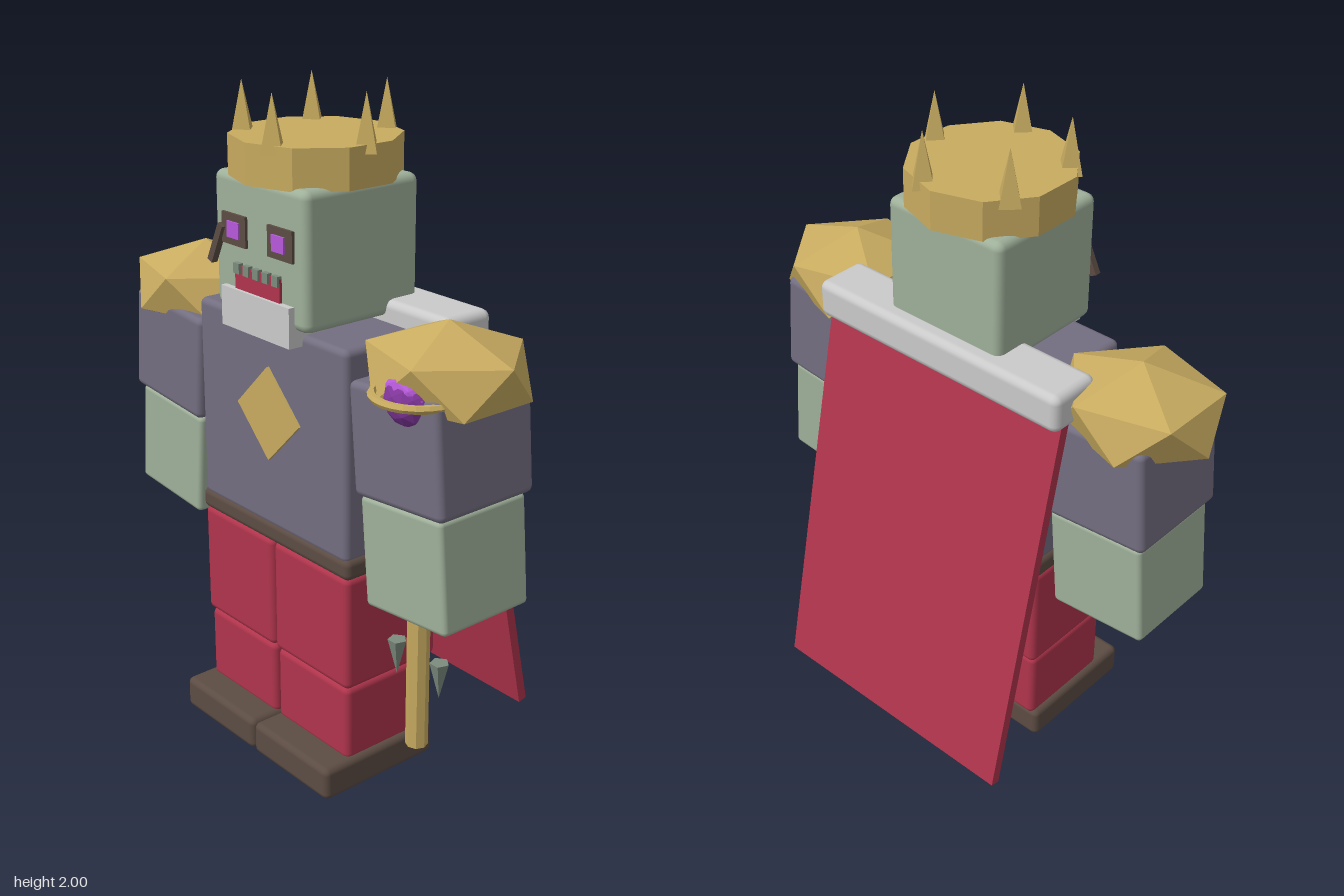
import * as THREE from 'three';
import { RoundedBoxGeometry } from 'three/addons/geometries/RoundedBoxGeometry.js';

export function createModel() {
  const root = new THREE.Group();
  root.name = 'undeadKing';

  const mat = (name, color, flatShading = false) => {
    const m = new THREE.MeshStandardMaterial({ color, flatShading });
    m.name = name;
    return m;
  };
  const skin = mat('paleGreenSkin', 0x9fb09a);
  const cloth = mat('greyVioletTunic', 0x736e80);
  const red = mat('crimson', 0xb0344c);
  const brown = mat('darkLeather', 0x5c4c43);
  const gold = mat('gold', 0xc8ab60, true);
  const fur = mat('paleGreyTrim', 0xcacaca);
  const purple = mat('deepPurple', 0x84389f, true);
  const glow = mat('brightPurple', 0xb75adb, true);
  const claw = mat('dullGreenGrey', 0x7c8c7e, true);

  const add = (name, geometry, material, x, y, z, parent = root) => {
    const m = new THREE.Mesh(geometry, material);
    m.name = name;
    m.position.set(x, y, z);
    parent.add(m);
    return m;
  };
  // Box given by its limits, with rounded edges when r > 0
  const block = (name, material, [x0, x1], [y0, y1], [z0, z1], r = 0.02) => {
    const w = x1 - x0, h = y1 - y0, d = z1 - z0;
    const g = r ? new RoundedBoxGeometry(w, h, d, 2, r) : new THREE.BoxGeometry(w, h, d);
    return add(name, g, material, (x0 + x1) / 2, (y0 + y1) / 2, (z0 + z1) / 2);
  };

  // Trunk
  block('torso', cloth, [-0.335, 0.335], [0.73, 1.355], [-0.07, 0.28]);
  block('belt', brown, [-0.345, 0.345], [0.68, 0.745], [-0.072, 0.284]);
  const diamond = add('chestDiamond', new THREE.BoxGeometry(0.2, 0.2, 0.009), gold, 0, 1.085, 0.284);
  diamond.rotation.z = Math.PI / 4;

  // Legs, shoes and arms
  for (const s of [-1, 1]) {
    const side = s > 0 ? 'left' : 'right';
    const span = (a, b) => (s > 0 ? [a, b] : [-b, -a]);
    block(side + 'Thigh', red, span(0.002, 0.34), [0.33, 0.685], [-0.067, 0.28]);
    block(side + 'Shin', red, span(0.006, 0.333), [0.09, 0.33], [-0.055, 0.273]);
    block(side + 'Shoe', brown, span(0.001, 0.35), [0, 0.103], [-0.052, 0.367]);

    const upper = add(side + 'UpperArm', new RoundedBoxGeometry(0.345, 0.325, 0.345, 2, 0.02), cloth, s * 0.52, 1.13, 0.104);
    const lower = add(side + 'Forearm', new RoundedBoxGeometry(0.318, 0.325, 0.316, 2, 0.015), skin, s * 0.543, 0.805, 0.104);
    upper.rotation.z = lower.rotation.z = s * 0.087;

    // Faceted shoulder plate, turned onto a vertex and flattened
    const pad = new THREE.IcosahedronGeometry(1, 0);
    pad.rotateZ(-0.553);
    pad.scale(0.26, 0.14, 0.235);
    add(side + 'ShoulderPlate', pad, gold, s * 0.54, 1.32, 0.104);
  }

  // Head and face
  block('head', skin, [-0.206, 0.206], [1.37, 1.76], [-0.095, 0.307], 0.025);
  block('chinGuard', fur, [-0.153, 0.153], [1.325, 1.44], [0.2, 0.326], 0);
  for (const s of [-1, 1]) {
    const side = s > 0 ? 'left' : 'right';
    add(side + 'EyeSocket', new THREE.BoxGeometry(0.108, 0.088, 0.009), brown, s * 0.103, 1.605, 0.311);
    add(side + 'Eye', new THREE.BoxGeometry(0.053, 0.046, 0.009), glow, s * 0.1, 1.605, 0.317);
  }
  const scar = add('scar', new THREE.BoxGeometry(0.022, 0.125, 0.02), brown, -0.178, 1.555, 0.317);
  scar.rotation.z = -0.45;
  add('mouth', new THREE.BoxGeometry(0.2, 0.075, 0.009), red, 0, 1.47, 0.311);
  for (let i = 0; i < 5; i++) {
    add('tooth', new THREE.BoxGeometry(0.026, 0.03, 0.015), claw, -0.086 + i * 0.043, 1.5, 0.315);
  }

  // Crown: ten-sided band with five spikes
  add('crownBand', new THREE.CylinderGeometry(0.242, 0.242, 0.115, 10), gold, 0, 1.807, 0.104);
  for (let i = 0; i < 5; i++) {
    const a = (i * Math.PI * 2) / 5;
    add('crownSpike', new THREE.ConeGeometry(0.042, 0.16, 4), gold,
      Math.cos(a) * 0.21, 1.92, 0.104 + Math.sin(a) * 0.21);
  }

  // Cape hung from a pale roll behind the shoulders
  block('capeCollar', fur, [-0.452, 0.452], [1.3, 1.418], [-0.144, 0.025], 0.025);
  const cape = add('cape', new THREE.BoxGeometry(0.88, 1.25, 0.03), red, 0, 0.715, -0.218);
  cape.rotation.x = 0.214;

  // Sceptre held in the left hand
  const sceptre = new THREE.Group();
  sceptre.name = 'sceptre';
  sceptre.position.set(0.556, 0, 0.207);
  root.add(sceptre);
  add('shaft', new THREE.CylinderGeometry(0.032, 0.032, 1.0, 8), gold, 0, 0.74, 0, sceptre);
  add('orb', new THREE.IcosahedronGeometry(0.085, 2), purple, 0, 1.285, 0.026, sceptre);
  add('orbCore', new THREE.IcosahedronGeometry(0.083, 1), glow, 0, 1.297, 0.026, sceptre);
  const ring = add('orbRing', new THREE.TorusGeometry(0.12, 0.012, 6, 24), gold, 0, 1.29, 0.018, sceptre);
  ring.rotation.x = Math.PI / 2;
  for (const s of [-1, 1]) {
    const c = add('hangingClaw', new THREE.ConeGeometry(0.028, 0.11, 5), claw, s * 0.085, 0.48, 0, sceptre);
    c.rotation.x = Math.PI;
  }

  return root;
}
